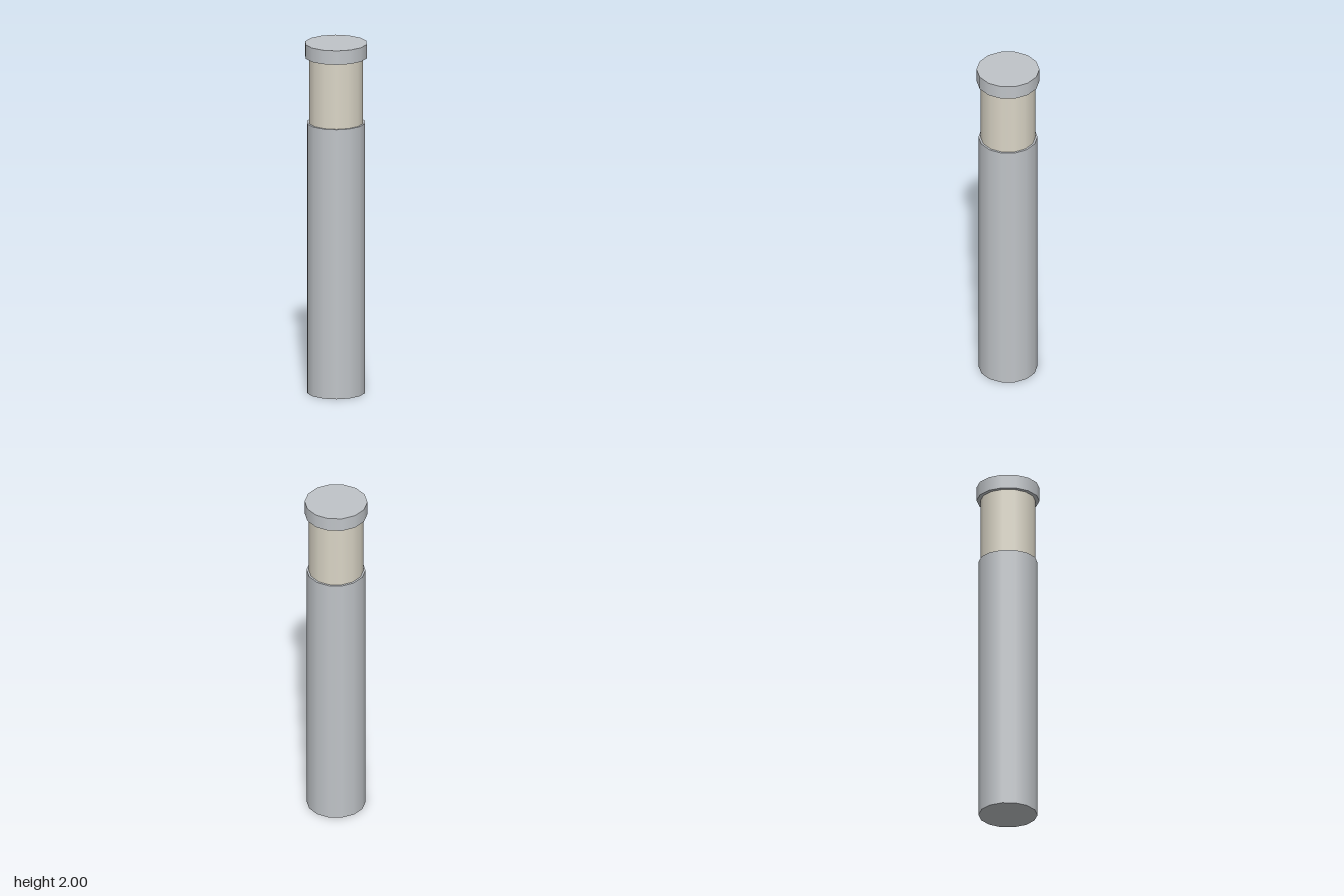
import * as THREE from 'three';

// Bollard lamp: tall post, pale light band and a wider cap, all 14-sided with smooth sides
export function createModel() {
  const group = new THREE.Group();
  const metal = new THREE.MeshStandardMaterial({ color: 0xc0c4c8 });
  metal.name = 'grey metal';
  const diffuser = new THREE.MeshStandardMaterial({ color: 0xdad5c6 });
  diffuser.name = 'warm diffuser';

  const addDrum = (name, radius, bottom, top, material) => {
    const mesh = new THREE.Mesh(new THREE.CylinderGeometry(radius, radius, top - bottom, 14), material);
    mesh.name = name;
    mesh.position.y = (bottom + top) / 2;
    group.add(mesh);
  };

  addDrum('post', 0.164, 0, 1.545, metal);
  addDrum('lightBand', 0.153, 1.545, 1.92, diffuser);
  addDrum('cap', 0.1745, 1.92, 2, metal);
  return group;
}
